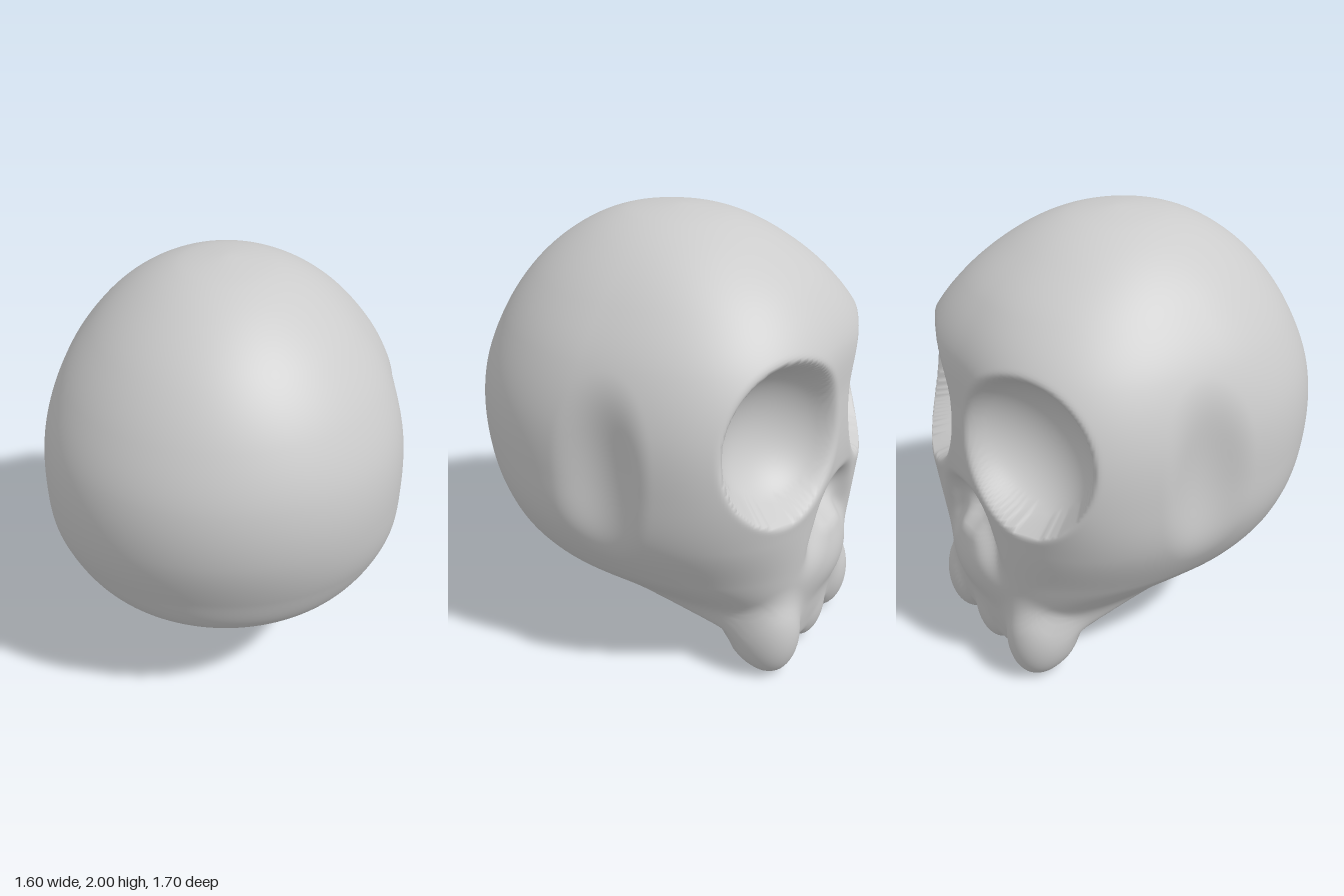
import * as THREE from 'three';
import { mergeVertices } from 'three/addons/utils/BufferGeometryUtils.js';

// Head sections from chin to crown: half width, back z, face z, z of widest point, face squareness
const SECTIONS = [
  [0.00, -0.64, -0.66, -0.65, 2.0],
  [0.29, -0.57, -0.73, -0.64, 2.3],
  [0.39, -0.42, -0.76, -0.58, 2.7],
  [0.46, 0.30, -0.79, -0.22, 2.9],
  [0.655, 0.645, -0.81, 0.00, 2.6],
  [0.775, 0.77, -0.815, 0.08, 2.9],
  [0.80, 0.845, -0.83, 0.10, 3.2],
  [0.785, 0.84, -0.82, 0.08, 3.1],
  [0.71, 0.755, -0.80, 0.03, 2.6],
  [0.575, 0.62, -0.675, 0.00, 2.3],
  [0.41, 0.44, -0.48, -0.03, 2.1],
  [0.22, 0.23, -0.27, -0.03, 2.0],
  [0.00, -0.03, -0.03, -0.03, 2.0],
];
const CHIN = 0.06;
const CROWN = 2;

// Catmull-Rom blend of the sections; the cosine spacing rounds off both ends
function sectionAt(y) {
  const last = SECTIONS.length - 1;
  const u = Math.acos(1 - 2 * (y - CHIN) / (CROWN - CHIN)) / Math.PI * last;
  const i = Math.min(Math.floor(u), last - 1);
  const t = u - i;
  const row = (k) => SECTIONS[Math.max(0, Math.min(last, k))];
  const [a, b, c, d] = [row(i - 1), row(i), row(i + 1), row(i + 2)];
  return b.map((v, k) => v + 0.5 * t * (c[k] - a[k]
    + t * (2 * a[k] - 5 * v + 4 * c[k] - d[k] + t * (3 * (v - c[k]) + d[k] - a[k]))));
}

// Head without features: negative inside, positive outside
function headField(x, y, z) {
  if (y <= CHIN || y >= CROWN) return 0.2 + Math.max(CHIN - y, y - CROWN);
  const [w, back, face, mid, square] = sectionAt(y);
  const behind = z > mid;
  const p = behind ? 2 : square;
  const depth = Math.max(1e-4, behind ? back - mid : mid - face);
  const g = Math.pow(x / Math.max(1e-4, w), p) + Math.pow(Math.abs(z - mid) / depth, p);
  return 0.7 * (Math.pow(g, 1 / p) - 1);
}

// Ellipsoid, turned about the vertical by yaw and tilted in its own face plane
function ellipsoid(x, y, z, { at, r, tilt = 0, yaw = 0 }) {
  const c = Math.cos(tilt), s = Math.sin(tilt);
  const dx = x - at[0], dy = y - at[1], dz = z - at[2];
  const side = dx * Math.cos(yaw) + dz * Math.sin(yaw);
  const deep = dz * Math.cos(yaw) - dx * Math.sin(yaw);
  return (Math.hypot((side * c + dy * s) / r[0], (dy * c - side * s) / r[1], deep / r[2]) - 1)
    * Math.min(...r);
}

function join(a, b, k) {
  const h = Math.max(k - Math.abs(a - b), 0) / k;
  return Math.min(a, b) - h * h * k / 4;
}
const carve = (a, b, k) => -join(-a, b, k);

// Features carved into or added to one side; |x| mirrors them
const CARVED = [
  { at: [0.40, 1.2, -0.79], r: [0.33, 0.33, 0.29], tilt: -0.25, yaw: 0.62, k: 0.04 }, // eye socket
  { at: [0.89, 1.10, -0.11], r: [0.15, 0.48, 0.18], k: 0.07 },             // temple hollow
  { at: [0, 0.79, -0.87], r: [0.15, 0.11, 0.16], k: 0.06 },                // nose opening
  { at: [0.15, 0.69, -0.86], r: [0.06, 0.14, 0.10], tilt: 0.35, k: 0.06 }, // nostril flank
];
const ADDED = [
  { at: [0, 0.49, -0.66], r: [0.23, 0.18, 0.175], k: 0.08 },    // muzzle
  { at: [0, 0.23, -0.68], r: [0.13, 0.21, 0.11], k: 0.05 },     // middle tooth
  { at: [0.29, 0.22, -0.66], r: [0.125, 0.22, 0.13], k: 0.05 }, // corner tooth
  { at: [0.34, 0.22, -0.59], r: [0.085, 0.16, 0.12], k: 0.05 }, // rear tooth
];

function skullField(px, y, z) {
  const x = Math.abs(px);
  let f = headField(x, y, z);
  for (const c of CARVED) f = carve(f, ellipsoid(x, y, z, c), c.k);
  for (const a of ADDED) f = join(f, ellipsoid(x, y, z, a), a.k);
  return f;
}

// Even cube-sphere whose points slide outward from the core to the surface
function skullGeometry(n) {
  let geometry = new THREE.BoxGeometry(2, 2, 2, n, n, n);
  geometry.deleteAttribute('uv');
  geometry.deleteAttribute('normal');
  geometry.clearGroups();
  geometry = mergeVertices(geometry, 1e-4);
  const core = new THREE.Vector3(0, 1.15, 0.08);
  const position = geometry.attributes.position;
  const dir = new THREE.Vector3();
  const even = (v) => Math.tan(v * Math.PI / 4);
  const fieldAt = (t) =>
    skullField(core.x + dir.x * t, core.y + dir.y * t, core.z + dir.z * t);
  for (let i = 0; i < position.count; i++) {
    dir.set(even(position.getX(i)), even(position.getY(i)), even(position.getZ(i))).normalize();
    let far = 0.25;
    while (far < 1.6 && fieldAt(far) < 0) far += 0.03;
    let near = far - 0.03;
    for (let k = 0; k < 12; k++) {
      const half = (near + far) / 2;
      if (fieldAt(half) < 0) near = half; else far = half;
    }
    dir.multiplyScalar(near).add(core);
    position.setXYZ(i, dir.x, dir.y, dir.z);
  }
  geometry.computeVertexNormals();
  return geometry;
}

export function createModel() {
  const group = new THREE.Group();
  group.name = 'skullModel';
  const skull = new THREE.Mesh(
    skullGeometry(108),
    new THREE.MeshStandardMaterial({ color: 0xcccccc }),
  );
  skull.name = 'skull';
  group.add(skull);
  return group;
}
